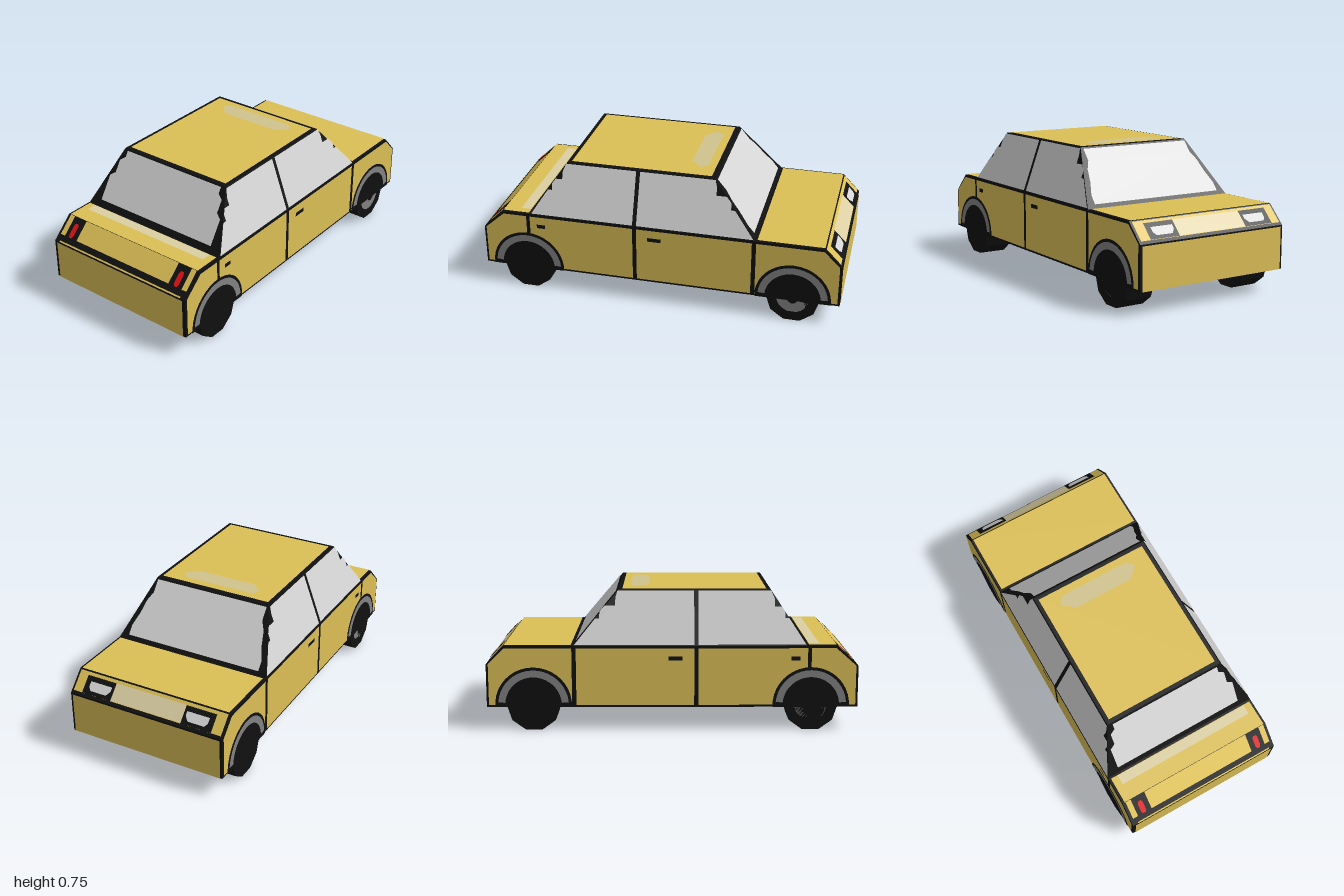
import * as THREE from 'three';

const mat = (name, color) => {
  const m = new THREE.MeshStandardMaterial({ color });
  m.name = name;
  return m;
};
const W = 0.452, L = 0.997, BELT = 0.46, ROOF = 0.75, FLOOR = 0.125;
const WHEEL_Y = 0.138, WHEEL_Z = 0.745;
const CENTRE = new THREE.Vector3(0, 0.3, 0);

export function createModel() {
  const black = mat('black trim', 0x101010);
  const yellow = mat('yellow paint', 0xdcbf56);
  const glass = mat('pale glass', 0xd5d5d5);
  const grey = mat('wheel grey', 0x828282);
  const red = mat('red lamp', 0xdc1216);
  const cream = mat('cream highlight', 0xdbcfa2);
  const roofShine = mat('roof highlight', 0xd0c38e);
  const car = new THREE.Group();
  car.name = 'car';

  const add = (name, geo, material) => {
    const mesh = new THREE.Mesh(geo, material);
    mesh.name = name;
    car.add(mesh);
    return mesh;
  };
  const flat = (geo) => {
    const g = geo.toNonIndexed();
    g.computeVertexNormals();
    return g;
  };

  // Thin painted face: a 2D shape mapped onto a body plane, lifted outwards
  const panel = (name, material, outline, map, layer = 1) => {
    const shape = Array.isArray(outline)
      ? new THREE.Shape(outline.map((p) => new THREE.Vector2(...p))) : outline;
    const g = new THREE.ShapeGeometry(shape, 10);
    const pos = g.attributes.position;
    for (let i = 0; i < pos.count; i++) pos.setXYZ(i, ...map(pos.getX(i), pos.getY(i)));
    g.computeVertexNormals();
    const n = new THREE.Vector3().fromBufferAttribute(g.attributes.normal, 0);
    const p = new THREE.Vector3().fromBufferAttribute(pos, 0).sub(CENTRE);
    if (n.dot(p) < 0) {
      g.index.array.reverse();
      n.negate();
      g.computeVertexNormals();
    }
    n.multiplyScalar(0.001 + layer * 0.002);
    g.translate(n.x, n.y, n.z);
    return add(name, g, material);
  };
  const rect = (a, b, c, d) => [[a, c], [b, c], [b, d], [a, d]];
  const mirrorX = (half) => [...half, ...half.map(([x, y]) => [-x, y]).reverse()];
  const disc = (r) => new THREE.Shape().absarc(WHEEL_Z, WHEEL_Y, r, 0, Math.PI * 2);

  // Planes of the body
  const level = (y) => (x, z) => [x, y, z];
  const upright = (z) => (x, y) => [x, y, z];
  const slope = (y0, z0, y1, z1) => (x, y) => [x, y, z0 + (z1 - z0) * (y - y0) / (y1 - y0)];
  const side = (s) => (z, y) => [s * W, y, z];
  const cabinSide = (s) => (z, y) => [s * (W + (0.345 - W) * (y - BELT) / (ROOF - BELT)), y, z];
  const nose = slope(0.35, L, BELT, 0.88);
  const tail = slope(0.36, -L, BELT, -0.9);
  const frontScreen = slope(BELT, 0.72, ROOF, 0.53);
  const backScreen = slope(BELT, -0.53, ROOF, -0.29);

  // Lower body
  const profile = [[-L, FLOOR], [L, FLOOR], [L, 0.35], [0.88, BELT], [-0.9, BELT], [-L, 0.36]];
  const body = new THREE.ExtrudeGeometry(
    new THREE.Shape(profile.map(([z, y]) => new THREE.Vector2(-z, y))),
    { depth: 2 * W, bevelEnabled: false });
  body.translate(0, 0, -W).rotateY(Math.PI / 2);
  add('lowerBody', body, black);

  // Cabin, tapering to the roof
  const cabin = new THREE.BoxGeometry(1, 1, 1);
  const cp = cabin.attributes.position;
  for (let i = 0; i < cp.count; i++) {
    const top = cp.getY(i) > 0, front = cp.getZ(i) > 0;
    cp.setXYZ(i, Math.sign(cp.getX(i)) * (top ? 0.345 : W), top ? ROOF - 0.003 : BELT,
      front ? (top ? 0.53 : 0.72) : (top ? -0.29 : -0.53));
  }
  add('cabin', flat(cabin), black);

  // Wheel pairs joined by an axle
  const half = [[0, 0.452], [0.145, 0.452], [0.145, 0.29], [0.018, 0.23]];
  const axle = [...half.map(([r, x]) => [r, -x]), [0.06, 0], ...half.slice().reverse()];
  const axleGeo = flat(new THREE.LatheGeometry(axle.map((p) => new THREE.Vector2(...p)), 10));
  axleGeo.rotateZ(-Math.PI / 2);
  for (const e of [1, -1]) {
    add(e > 0 ? 'frontWheels' : 'rearWheels', axleGeo, black).position.set(0, WHEEL_Y, e * WHEEL_Z);
  }

  // Roof and decks
  panel('roofPanel', yellow, rect(-0.325, 0.325, -0.268, 0.508), level(ROOF - 0.003));
  panel('roofHighlight', roofShine, [[-0.235, -0.185], [-0.2, -0.225], [0.2, -0.225], [0.235, -0.185],
    [0.17, -0.125], [-0.17, -0.125]], level(ROOF - 0.003), 2);
  panel('frontDeck', yellow, rect(-0.44, 0.44, 0.732, 0.88), level(BELT));
  panel('frontDeckHighlight', cream, rect(-0.4, 0.4, 0.735, 0.79), level(BELT), 2);
  panel('rearDeck', yellow, rect(-0.44, 0.44, -0.9, -0.542), level(BELT));

  // Front end
  panel('frontPanel', yellow, rect(-0.435, 0.435, FLOOR, 0.344), upright(L));
  panel('frontLip', yellow, rect(-0.42, 0.42, 0.351, 0.357), nose);
  panel('nosePanel', yellow, rect(-0.32, 0.32, 0.38, BELT), nose);

  // Rear end
  panel('rearPanel', yellow, rect(-0.44, 0.44, FLOOR, 0.352), upright(-L));
  panel('tailPanel', yellow, rect(-0.44, 0.44, 0.372, 0.455), tail);
  panel('tailHighlight', cream, rect(-0.21, 0.21, 0.374, 0.443), tail, 2);

  // Front and rear screens
  panel('frontScreen', glass, mirrorX([[0.38, 0.49], [0.38, 0.61], [0.35, 0.63], [0.35, 0.69],
    [0.32, 0.71], [0.32, 0.74]]), frontScreen);
  panel('rearScreen', glass, mirrorX([[0.4, 0.478], [0.4, 0.52], [0.375, 0.58], [0.36, 0.64],
    [0.335, 0.68], [0.335, 0.738]]), backScreen);

  for (const s of [1, -1]) {
    const name = s > 0 ? 'left' : 'right';
    const on = side(s), up = cabinSide(s);

    // Lamps
    panel(name + 'NoseCorner', yellow, rect(s * 0.405, s * 0.436, 0.38, BELT), nose);
    panel(name + 'RedLamp', red, [[0.357, 0.38], [0.373, 0.38], [0.38, 0.39], [0.38, 0.428], [0.373, 0.437],
      [0.357, 0.437], [0.35, 0.428], [0.35, 0.39]].map(([x, y]) => [s * x, y]), nose, 2);
    panel(name + 'LampSurround', black, rect(s * 0.21, s * 0.385, 0.372, 0.442), tail, 3);
    panel(name + 'WhiteLamp', glass, [[0.245, 0.386], [0.34, 0.386], [0.355, 0.4], [0.355, 0.422], [0.225, 0.422],
      [0.225, 0.405]].map(([x, y]) => [s * x, y]), tail, 4);

    // Side panels
    panel(name + 'FrontWing', yellow, [[0.985, 0.137], [0.985, 0.352], [0.877, 0.447], [0.745, 0.447],
      [0.745, 0.137]], on);
    panel(name + 'FrontDoor', yellow, rect(0.14, 0.725, 0.137, 0.447), on);
    panel(name + 'RearDoor', yellow, rect(-0.515, 0.118, 0.137, 0.447), on);
    panel(name + 'RearWing', yellow, [[-0.985, 0.137], [-0.985, 0.362], [-0.9, 0.447], [-0.538, 0.447],
      [-0.538, 0.137]], on);
    panel(name + 'FrontHandle', black, rect(0.637, 0.685, 0.381, 0.403), on, 2);
    panel(name + 'RearHandle', black, rect(-0.02, 0.055, 0.381, 0.403), on, 2);

    // Side windows with stepped pillar edges
    panel(name + 'FrontWindow', glass, [[0.14, 0.465], [0.715, 0.465], [0.627, 0.6], [0.605, 0.6], [0.605, 0.635],
      [0.587, 0.66], [0.55, 0.66], [0.55, 0.7], [0.533, 0.742], [0.14, 0.742]], up);
    panel(name + 'RearWindow', glass, [[0.118, 0.465], [-0.523, 0.465], [-0.412, 0.6], [-0.39, 0.6], [-0.39, 0.635],
      [-0.362, 0.665], [-0.305, 0.665], [-0.305, 0.705], [-0.294, 0.742], [0.118, 0.742]], up);

    // Wheel arches and hubs
    for (const e of [1, -1]) {
      const at = (z, y) => on(e * z, y);
      const end = name + (e > 0 ? 'Front' : 'Rear');
      const arch = new THREE.Shape().absarc(WHEEL_Z, WHEEL_Y, 0.206, -0.06, Math.PI + 0.06);
      const trim = new THREE.Shape().absarc(WHEEL_Z, WHEEL_Y, 0.19, 0.08, Math.PI - 0.08);
      trim.absarc(WHEEL_Z, WHEEL_Y, 0.152, Math.PI - 0.08, 0.08, true);
      panel(end + 'Arch', black, arch, at, 2);
      panel(end + 'ArchTrim', grey, trim, at, 3);
      panel(end + 'Hub', grey, disc(0.088), at, 3);
      panel(end + 'HubCentre', black, disc(0.028), at, 4);
    }
  }
  return car;
}
